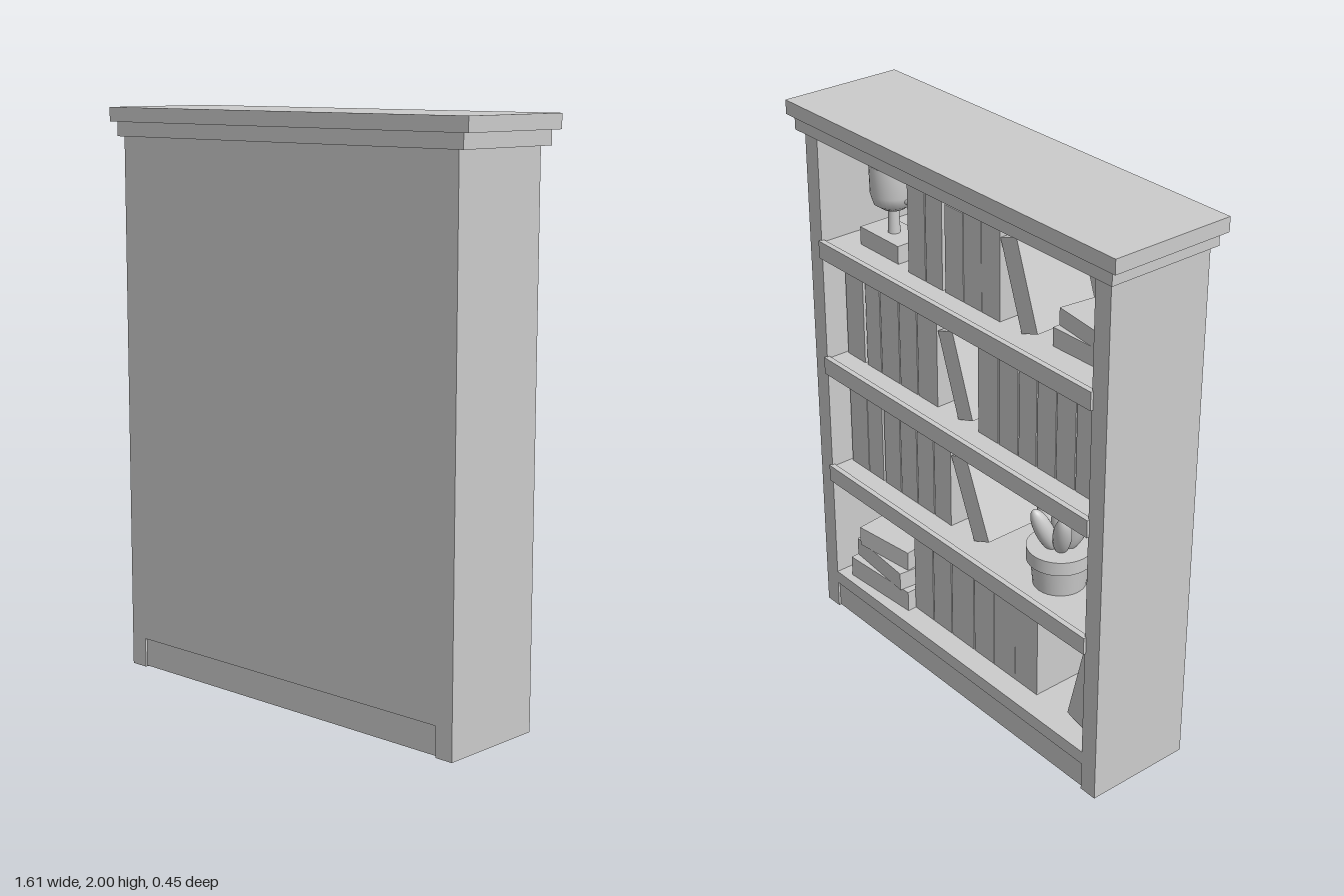
import * as THREE from 'three';

const material = new THREE.MeshStandardMaterial({ color: 0xcccccc });
const BOOK_FRONT = -0.105;

function add(parent, name, geometry, x = 0, y = 0, z = 0) {
  const mesh = new THREE.Mesh(geometry, material);
  mesh.name = name;
  mesh.position.set(x, y, z);
  parent.add(mesh);
  return mesh;
}

// Box given by its extents along each axis
function block(parent, name, x0, x1, y0, y1, z0, z1) {
  return add(parent, name, new THREE.BoxGeometry(x1 - x0, y1 - y0, z1 - z0),
    (x0 + x1) / 2, (y0 + y1) / 2, (z0 + z1) / 2);
}

// Upright books, each given as [left edge, width, height]
function bookRow(parent, y, books) {
  books.forEach(([x, w, h], i) => {
    const depth = 0.25 + 0.01 * (i % 3);
    block(parent, 'book', x - w, x, y, y + h, BOOK_FRONT, BOOK_FRONT + depth);
  });
}

// Book tipped over its lower corner; side +1 leans towards +x, -1 towards -x
function leaningBook(parent, x, y, w, h, angle, side) {
  const geometry = new THREE.BoxGeometry(w, h, 0.25);
  geometry.translate(-side * w / 2, h / 2, 0);
  add(parent, 'leaningBook', geometry, x, y, BOOK_FRONT + 0.125).rotation.z = -side * angle;
}

// Flat books piled up, each given as [width, thickness, depth, turn]
function bookStack(parent, x, y, z, books) {
  for (const [w, t, d, turn] of books) {
    add(parent, 'stackedBook', new THREE.BoxGeometry(w, t, d), x, y + t / 2, z).rotation.y = turn;
    y += t;
  }
}

function lathe(points) {
  return new THREE.LatheGeometry(points.map(([r, y]) => new THREE.Vector2(r, y)), 32);
}

function createTrophy() {
  const trophy = new THREE.Group();
  trophy.name = 'trophy';
  block(trophy, 'trophyBase', -0.105, 0.105, 0, 0.065, -0.065, 0.065);
  add(trophy, 'trophyStem', new THREE.CylinderGeometry(0.018, 0.022, 0.1, 20), 0, 0.11, 0);
  const cup = add(trophy, 'trophyCup', lathe([[0, 0.15], [0.04, 0.155], [0.068, 0.175],
    [0.078, 0.21], [0.08, 0.31], [0.07, 0.31], [0.068, 0.21], [0.04, 0.175], [0, 0.17]]));
  cup.material = material.clone();
  cup.material.side = THREE.DoubleSide;
  for (const side of [-1, 1]) {
    const handle = add(trophy, 'trophyHandle',
      new THREE.TorusGeometry(0.042, 0.01, 10, 20, Math.PI), side * 0.074, 0.24, 0);
    handle.rotation.z = -side * Math.PI / 2;
  }
  return trophy;
}

function createPlant() {
  const plant = new THREE.Group();
  plant.name = 'pottedPlant';
  add(plant, 'pot', new THREE.CylinderGeometry(0.1, 0.09, 0.1, 32), 0, 0.05, 0);
  add(plant, 'potRim', new THREE.CylinderGeometry(0.113, 0.113, 0.05, 32), 0, 0.12, 0);
  // Plump leaves fanned around one upright leaf
  const leafShape = new THREE.SphereGeometry(1, 20, 14);
  leafShape.scale(0.032, 0.095, 0.032);
  leafShape.translate(0, 0.08, 0);
  add(plant, 'leaf', leafShape, 0, 0.15, 0);
  for (let i = 0; i < 5; i++) {
    const pivot = new THREE.Group();
    pivot.name = 'leafPivot';
    pivot.position.y = 0.14;
    pivot.rotation.y = i * Math.PI * 0.4;
    add(pivot, 'leaf', leafShape, 0.025, 0, 0).rotation.z = -0.42;
    plant.add(pivot);
  }
  return plant;
}

export function createModel() {
  const model = new THREE.Group();
  model.name = 'bookcase';

  // Carcass
  for (const [x0, x1] of [[-0.752, -0.685], [0.685, 0.752]]) {
    block(model, 'sidePanel', x0, x1, 0, 1.9, -0.19, 0.206);
  }
  block(model, 'backPanel', -0.685, 0.685, 0.105, 1.9, 0.19, 0.206);
  block(model, 'plinth', -0.685, 0.685, 0.003, 0.105, -0.182, 0.198);
  block(model, 'bottomShelf', -0.685, 0.685, 0.105, 0.155, -0.19, 0.19);
  block(model, 'lowerCornice', -0.777, 0.777, 1.9, 1.95, -0.212, 0.216);
  block(model, 'upperCornice', -0.804, 0.804, 1.95, 2, -0.227, 0.227);

  // Shelves with a front lip
  const shelves = [0.617, 1.062, 1.512];
  for (const y of shelves) {
    block(model, 'shelf', -0.685, 0.685, y - 0.05, y, -0.18, 0.19);
    block(model, 'shelfLip', -0.69, 0.69, y - 0.057, y + 0.007, -0.2, -0.18);
  }

  // Bottom shelf
  const [low, middle, high] = shelves;
  bookStack(model, 0.48, 0.155, -0.03, [
    [0.32, 0.08, 0.24, 0.06], [0.29, 0.07, 0.22, -0.08], [0.25, 0.075, 0.2, 0.12]]);
  bookRow(model, 0.155, [[0.315, 0.105, 0.32], [0.205, 0.1, 0.34], [0.1, 0.12, 0.33],
    [-0.025, 0.105, 0.335], [-0.133, 0.112, 0.35], [-0.246, 0.114, 0.35]]);
  leaningBook(model, -0.6, 0.155, 0.085, 0.35, 0.24, -1);

  // Second shelf
  bookRow(model, low, [[0.675, 0.1, 0.33], [0.572, 0.085, 0.32], [0.475, 0.09, 0.33],
    [0.38, 0.09, 0.32], [0.285, 0.09, 0.315], [0.19, 0.09, 0.315]]);
  leaningBook(model, -0.025, low, 0.085, 0.31, 0.4, 1);
  const plant = createPlant();
  plant.position.set(-0.39, low, -0.038);
  model.add(plant);

  // Third shelf
  bookRow(model, middle, [[0.675, 0.1, 0.32], [0.56, 0.08, 0.33], [0.475, 0.1, 0.33],
    [0.37, 0.095, 0.315], [0.27, 0.105, 0.335], [-0.05, 0.1, 0.33], [-0.155, 0.095, 0.34],
    [-0.255, 0.085, 0.34], [-0.345, 0.088, 0.33], [-0.437, 0.088, 0.325], [-0.53, 0.1, 0.335]]);
  leaningBook(model, 0.055, middle, 0.08, 0.31, 0.34, 1);

  // Top shelf
  const trophy = createTrophy();
  trophy.position.set(0.485, high, -0.03);
  model.add(trophy);
  bookRow(model, high, [[0.31, 0.09, 0.315], [0.215, 0.085, 0.34], [0.115, 0.092, 0.31],
    [0.02, 0.088, 0.34], [-0.07, 0.09, 0.335]]);
  leaningBook(model, -0.265, high, 0.08, 0.31, 0.34, 1);
  bookStack(model, -0.525, high, 0.02, [[0.28, 0.065, 0.2, 0.03], [0.25, 0.06, 0.19, -0.12]]);

  return model;
}
